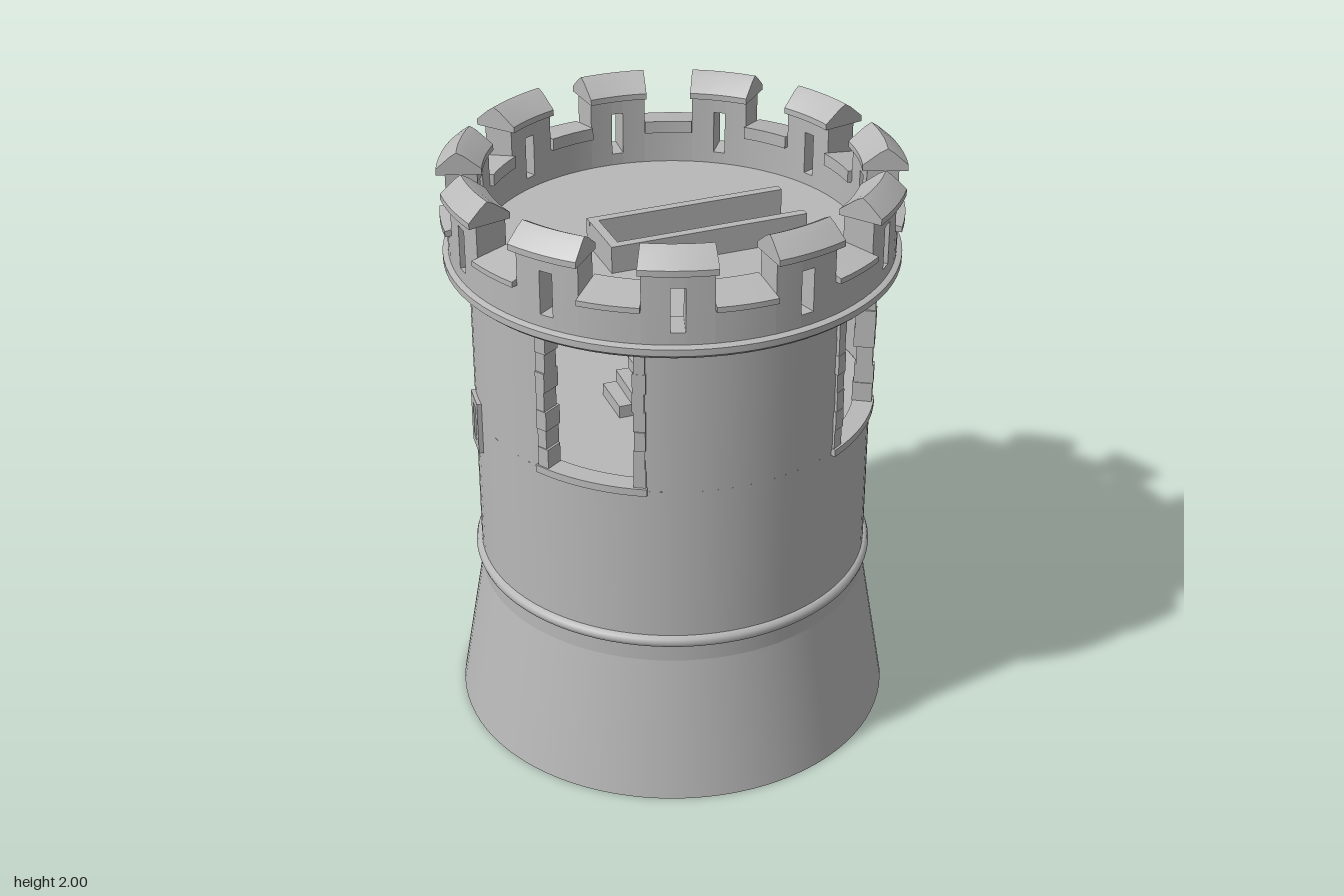
import * as THREE from 'three';
import { toCreasedNormals } from 'three/addons/utils/BufferGeometryUtils.js';

const stone = new THREE.MeshStandardMaterial({ color: 0xb8b8b8, side: THREE.DoubleSide });
stone.name = 'grey stone';
const RAD = Math.PI / 180;
const R = 0.655; // wall radius

function add(parent, name, geometry, x = 0, y = 0, z = 0) {
  const mesh = new THREE.Mesh(geometry, stone);
  mesh.name = name;
  mesh.position.set(x, y, z);
  parent.add(mesh);
  return mesh;
}

// Sweeps a closed [radius, height] profile around y, angles in degrees from +z towards +x
function arcBlock(profile, a0, a1) {
  const shape = new THREE.Shape(profile.map(([r, y]) => new THREE.Vector2(r, y)));
  const steps = Math.max(1, Math.ceil((a1 - a0) / 4));
  const geo = new THREE.ExtrudeGeometry(shape, { depth: 1, steps, bevelEnabled: false });
  const p = geo.attributes.position;
  for (let i = 0; i < p.count; i++) {
    const r = p.getX(i), a = (a1 - (a1 - a0) * p.getZ(i)) * RAD;
    p.setXYZ(i, r * Math.sin(a), p.getY(i), r * Math.cos(a));
  }
  return toCreasedNormals(geo, 0.5);
}
const rect = (r0, r1, y0, y1) => [[r0, y0], [r1, y0], [r1, y1], [r0, y1]];

function rectPath(Type, x0, x1, y0, y1) {
  return new Type([[x0, y0], [x1, y0], [x1, y1], [x0, y1]].map(([x, y]) => new THREE.Vector2(x, y)));
}

function makeRandom(seed) {
  return () => (seed = (seed * 16807) % 2147483647) / 2147483647;
}

function tube(r0, r1, y0, y1, a0 = 0, a1 = 360) {
  const geo = new THREE.CylinderGeometry(r1, r0, y1 - y0, Math.round((a1 - a0) / 4), 1, true, a0 * RAD, (a1 - a0) * RAD);
  return geo.translate(0, (y0 + y1) / 2, 0);
}

export function createModel() {
  const tower = new THREE.Group();
  tower.name = 'tower';
  const random = makeRandom(71);

  // Walls: flared base, shaft, and upper shaft interrupted by two windows
  add(tower, 'flaredBase', tube(0.74, R, 0, 0.5));
  add(tower, 'shaft', tube(R, R, 0.5, 1.14));
  add(tower, 'upperShaft', tube(R, R, 1.14, 1.64, 14.5, 75.5));
  add(tower, 'upperShaft', tube(R, R, 1.14, 1.64, 104.5, 345.5));
  add(tower, 'stringCourse', new THREE.TorusGeometry(R - 0.003, 0.022, 10, 90).rotateX(Math.PI / 2), 0, 0.578, 0);
  add(tower, 'innerFloor', new THREE.CylinderGeometry(R - 0.005, R - 0.005, 0.02, 64), 0, 1.135, 0);

  // Windows with rough jamb stones
  for (const centre of [0, 90]) {
    const frame = new THREE.Group();
    frame.name = 'windowFrame';
    frame.rotation.y = centre * RAD;
    tower.add(frame);
    add(frame, 'windowSill', arcBlock(rect(0.6, 0.67, 1.13, 1.155), -16.5, 16.5));
    add(frame, 'windowLintel', arcBlock(rect(0.6, 0.665, 1.625, 1.64), -16.3, 16.3));
    for (const side of [-1, 1]) {
      for (let i = 0; i < 7; i++) {
        const inner = 12.8 + (random() - 0.5) * 0.8;
        const outer = 16 + (random() - 0.5) * 0.6;
        const y = 1.155 + i * 0.067;
        const block = rect(0.595 + random() * 0.012, 0.66 + random() * 0.008, y, y + 0.067);
        add(frame, 'jambStone', side > 0 ? arcBlock(block, inner, outer) : arcBlock(block, -outer, -inner));
      }
    }
  }

  // Arrow slits around the shaft
  for (const [angle, y] of [[-52, 1.11], [143, 1.145], [241, 1.23]]) {
    const slit = new THREE.Group();
    slit.name = 'arrowSlit';
    slit.rotation.y = angle * RAD;
    slit.position.y = y;
    tower.add(slit);
    const plate = rectPath(THREE.Shape, -0.052, 0.052, -0.092, 0.092);
    plate.holes.push(rectPath(THREE.Path, -0.018, 0.018, -0.062, 0.062));
    add(slit, 'slitFrame', new THREE.ExtrudeGeometry(plate, { depth: 0.03, bevelEnabled: false }), 0, 0, 0.638);
  }

  // Overhanging cornice under the parapet
  const cornice = [[0.64, 1.632], [0.66, 1.632], [0.722, 1.648], [0.735, 1.66], [0.735, 1.682], [0.715, 1.69], [0.64, 1.69]];
  add(tower, 'cornice', arcBlock(cornice, 0, 360));

  // Parapet: eleven roofed merlons, each with a slit, and sloping sills between
  const count = 11, pitch = 360 / count, half = 8.8, gap = 1.8;
  const roof = [[0.6, 1.925], [0.745, 1.925], [0.745, 1.945], [0.7, 1.985], [0.678, 2], [0.655, 1.988], [0.6, 1.945]];
  const sill = [[0.6, 1.8], [0.738, 1.8], [0.738, 1.818], [0.6, 1.842]];
  for (let i = 0; i < count; i++) {
    const merlon = new THREE.Group();
    merlon.name = 'merlon';
    merlon.rotation.y = (90 + i * pitch) * RAD;
    tower.add(merlon);
    const post = rect(0.615, 0.717, 1.68, 1.93);
    add(merlon, 'merlonPost', arcBlock(post, -half, -gap));
    add(merlon, 'merlonPost', arcBlock(post, gap, half));
    add(merlon, 'slitBase', arcBlock(rect(0.615, 0.717, 1.68, 1.73), -gap, gap));
    add(merlon, 'slitHead', arcBlock(rect(0.615, 0.717, 1.875, 1.93), -gap, gap));
    add(merlon, 'merlonRoof', arcBlock(roof, -half - 0.5, half + 0.5));
    add(merlon, 'parapetWall', arcBlock(rect(0.615, 0.717, 1.68, 1.81), half, pitch - half));
    add(merlon, 'parapetSill', arcBlock(sill, half, pitch - half));
  }

  // Roof deck with a diagonal stairwell
  const cx = 0.08, cz = -0.012, turn = Math.PI / 4;
  const deck = new THREE.Shape().absarc(0, 0, 0.63, 0, Math.PI * 2);
  const corners = [[-0.3, -0.085], [0.33, -0.085], [0.33, 0.085], [-0.3, 0.085]];
  deck.holes.push(new THREE.Path(corners.map(([x, y]) =>
    new THREE.Vector2(x, y).rotateAround(new THREE.Vector2(), turn).add(new THREE.Vector2(cx, -cz)))));
  const deckGeo = new THREE.ExtrudeGeometry(deck, { depth: 0.05, bevelEnabled: false, curveSegments: 48 });
  add(tower, 'deck', deckGeo.rotateX(-Math.PI / 2), 0, 1.64, 0);

  const stairs = new THREE.Group();
  stairs.name = 'stairs';
  stairs.position.set(cx, 0, cz);
  stairs.rotation.y = turn;
  tower.add(stairs);

  // Low curb, open at the top of the flight
  for (const side of [-1, 1]) {
    add(stairs, 'stairCurb', new THREE.BoxGeometry(0.665, 0.14, 0.03), 0, 1.71, side * 0.099);
  }
  add(stairs, 'stairCurbEnd', new THREE.BoxGeometry(0.03, 0.14, 0.168), -0.317, 1.71, 0);

  // Slightly uneven steps rising from the inner floor
  const steps = 13;
  for (let i = 0; i < steps; i++) {
    const step = add(stairs, 'step', new THREE.BoxGeometry(0.06, 0.045, 0.164),
      -0.27 + i * 0.045, 1.165 + i * 0.0415, 0);
    step.rotation.y = (random() - 0.5) * 0.16;
  }
  return tower;
}
